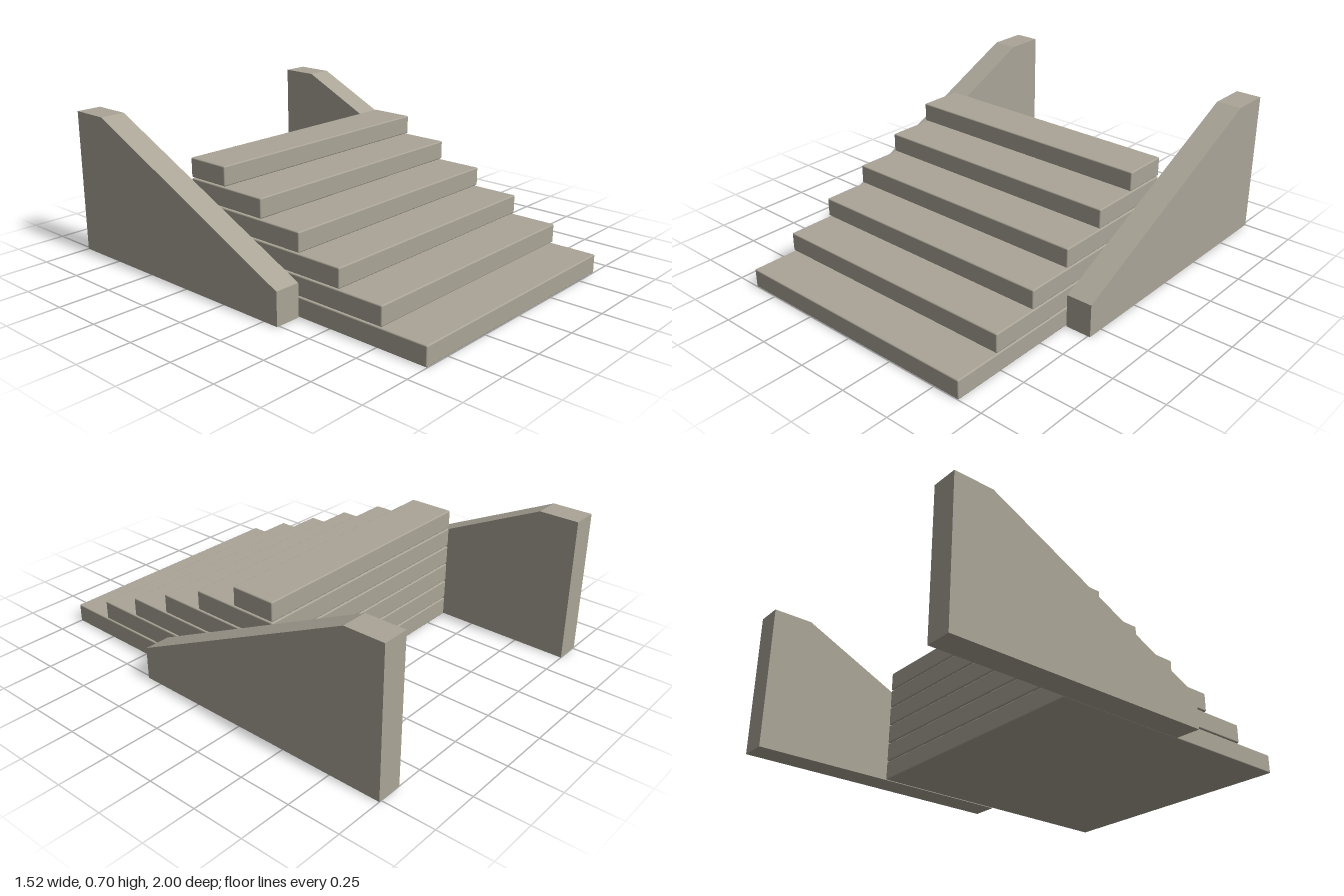
import * as THREE from 'three';
import { RoundedBoxGeometry } from 'three/addons/geometries/RoundedBoxGeometry.js';

export function createModel() {
  const group = new THREE.Group();
  group.name = 'stoneStaircase';
  const stone = new THREE.MeshStandardMaterial({ color: 0xaaa597 });
  stone.name = 'warm grey stone';

  // Stacked slabs: shared back face, each one shorter than the one below
  const steps = 6, back = -0.333, base = 0.006, pitch = 0.0955, thickness = 0.091;
  for (let i = 0; i < steps; i++) {
    const front = 1 - i * 0.2225;
    const depth = front - back;
    const slab = new THREE.Mesh(new RoundedBoxGeometry(1.266, thickness, depth, 2, 0.006), stone);
    slab.name = `step${i + 1}`;
    slab.position.set(0, base + i * pitch + thickness / 2, (front + back) / 2);
    group.add(slab);
  }

  // Sloping side walls, drawn as a z-y profile and extruded across x
  const profile = new THREE.Shape([
    [0.33, base], [0.33, 0.163], [-0.81, 0.702], [-1, 0.702], [-1, base],
  ].map(([z, y]) => new THREE.Vector2(z, y)));
  const width = 0.126;
  const wallGeometry = new THREE.ExtrudeGeometry(profile, { depth: width, bevelEnabled: false });
  wallGeometry.translate(0, 0, -width / 2).rotateY(-Math.PI / 2);
  for (const side of [1, -1]) {
    const wall = new THREE.Mesh(wallGeometry, stone);
    wall.name = side > 0 ? 'leftWall' : 'rightWall';
    wall.position.x = side * 0.699;
    group.add(wall);
  }
  return group;
}
